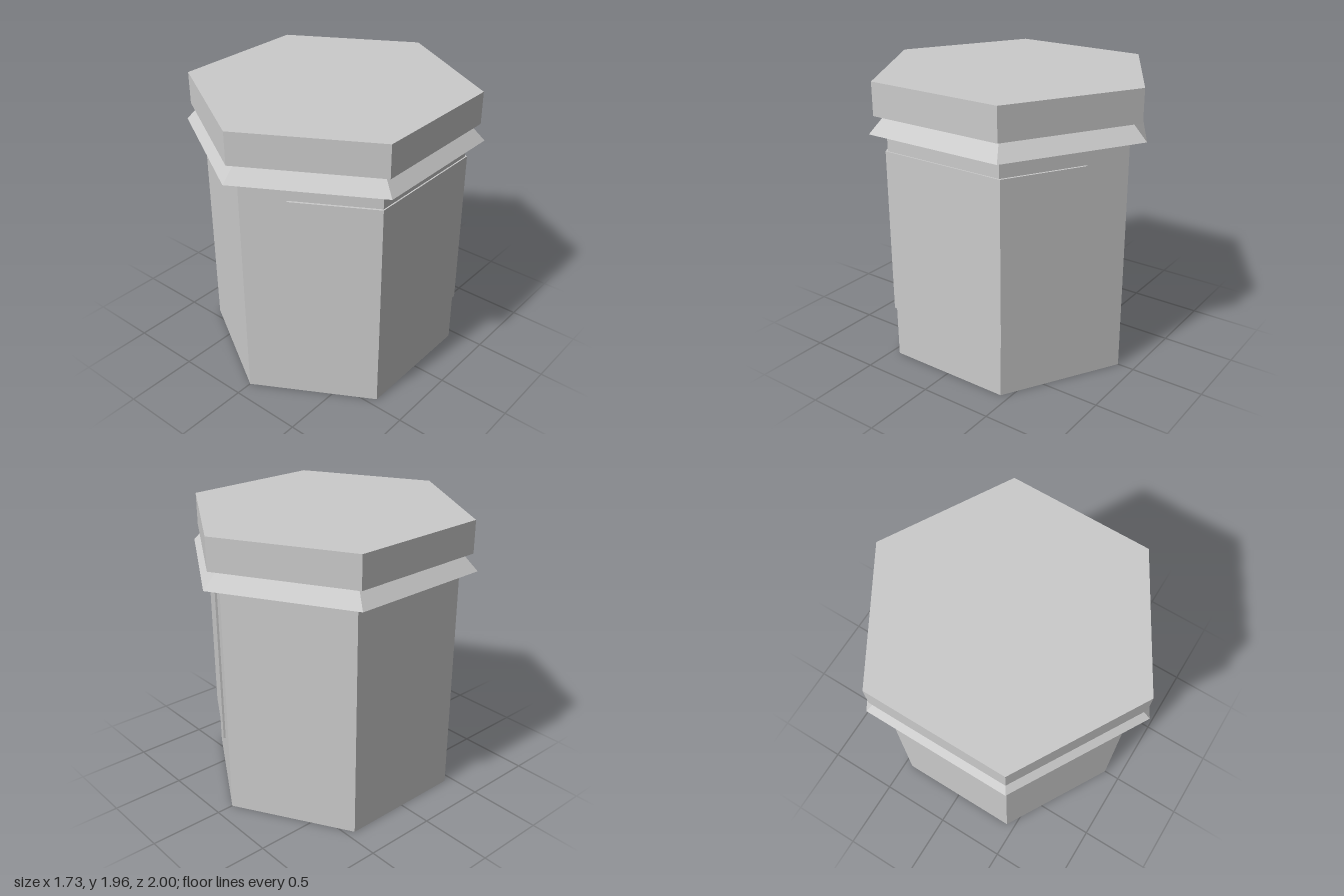
import * as THREE from 'three';

export function createModel() {
  const group = new THREE.Group();
  const material = new THREE.MeshStandardMaterial({ color: 0xcccccc, flatShading: true });

  const add = (name, geometry) => {
    const mesh = new THREE.Mesh(geometry, material);
    mesh.name = name;
    group.add(mesh);
  };

  // Six-sided section between two heights, corners on the z axis
  const hexSection = (name, topRadius, bottomRadius, y0, y1) => {
    const geometry = new THREE.CylinderGeometry(topRadius, bottomRadius, y1 - y0, 6);
    geometry.translate(0, (y0 + y1) / 2, 0);
    add(name, geometry);
  };

  hexSection('jarBody', 0.884, 0.884, 0, 1.625);
  hexSection('flaredCollar', 0.89, 1, 1.625, 1.74);
  hexSection('lid', 0.965, 0.965, 1.74, 1.96);

  // Thin label covering the left face and half of each neighbouring face
  const half = [[0.262, 0.733], [0.268, 0.746], [0.775, 0.453]];
  const innerHalf = [[0.762, 0.442]];
  const mirror = (points) => points.map(([x, y]) => [x, -y]).reverse();
  const outline = [...half, ...mirror(half), ...mirror(innerHalf), ...innerHalf];
  const shape = new THREE.Shape(outline.map(([x, y]) => new THREE.Vector2(x, y)));
  const label = new THREE.ExtrudeGeometry(shape, { depth: 1.135, bevelEnabled: false });
  label.rotateX(-Math.PI / 2);
  label.translate(0, 0.363, 0);
  add('wrapLabel', label);

  return group;
}
